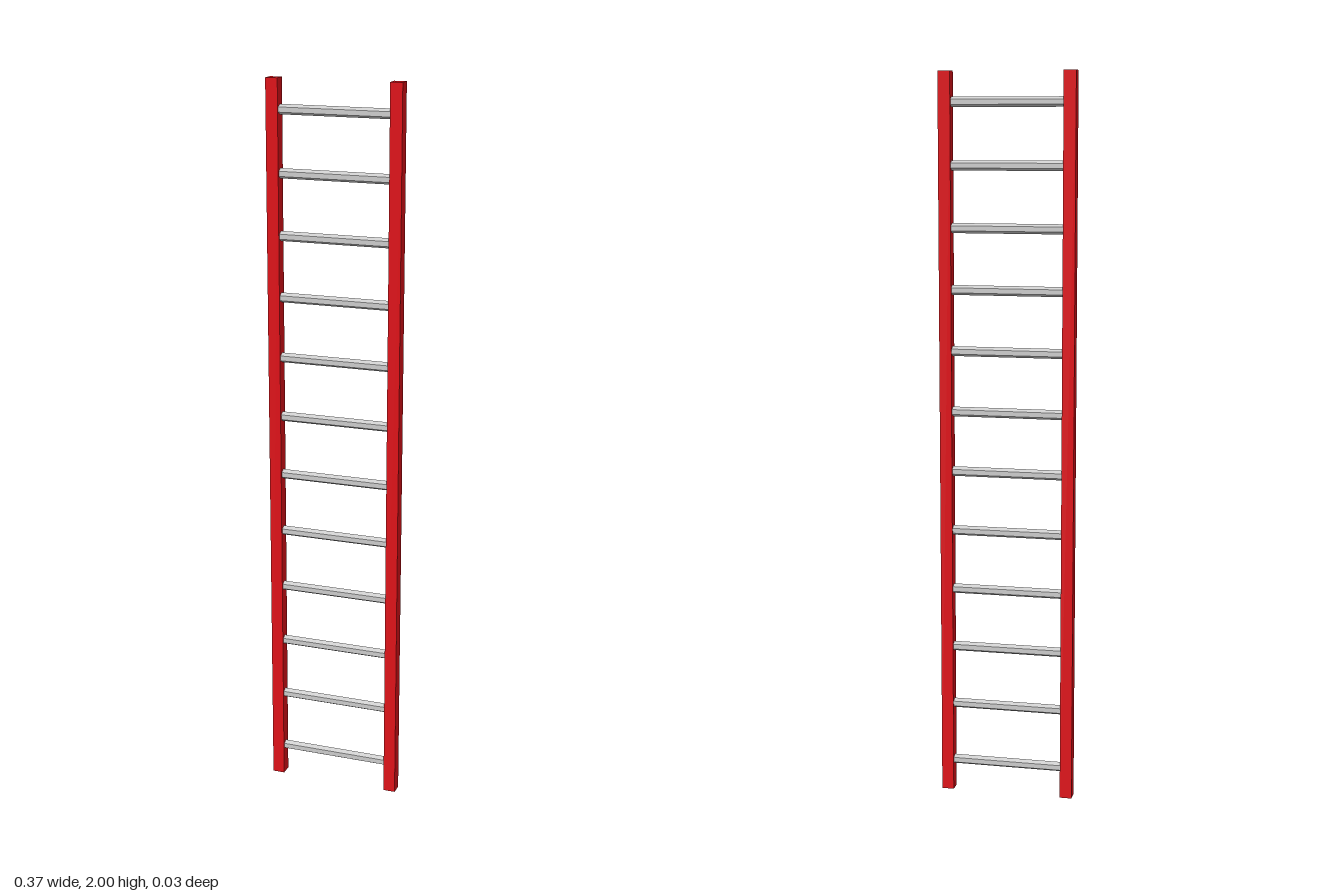
import * as THREE from 'three';

const HEIGHT = 2, RAIL = 0.0335, RAIL_X = 0.17;
const RUNGS = 12, RUNG_RADIUS = 0.0135;

export function createModel() {
  const ladder = new THREE.Group();
  ladder.name = 'ladder';
  const red = new THREE.MeshStandardMaterial({ color: 0xdd1118, flatShading: true });
  const grey = new THREE.MeshStandardMaterial({ color: 0xcccccc, flatShading: true });

  // Square side rails
  const railGeometry = new THREE.BoxGeometry(RAIL, HEIGHT, RAIL);
  for (const side of [-1, 1]) {
    const rail = new THREE.Mesh(railGeometry, red);
    rail.name = side > 0 ? 'leftRail' : 'rightRail';
    rail.position.set(side * RAIL_X, HEIGHT / 2, 0);
    ladder.add(rail);
  }

  // Hexagonal rungs, one ridge up, ending at the rails' inner faces
  const length = 2 * RAIL_X - RAIL;
  const rungGeometry = new THREE.CylinderGeometry(RUNG_RADIUS, RUNG_RADIUS, length, 6);
  rungGeometry.rotateY(Math.PI / 2).rotateZ(Math.PI / 2);
  const step = HEIGHT / RUNGS;
  for (let i = 0; i < RUNGS; i++) {
    const rung = new THREE.Mesh(rungGeometry, grey);
    rung.name = `rung${i + 1}`;
    rung.position.y = (i + 0.5) * step + 0.002;
    ladder.add(rung);
  }
  return ladder;
}
